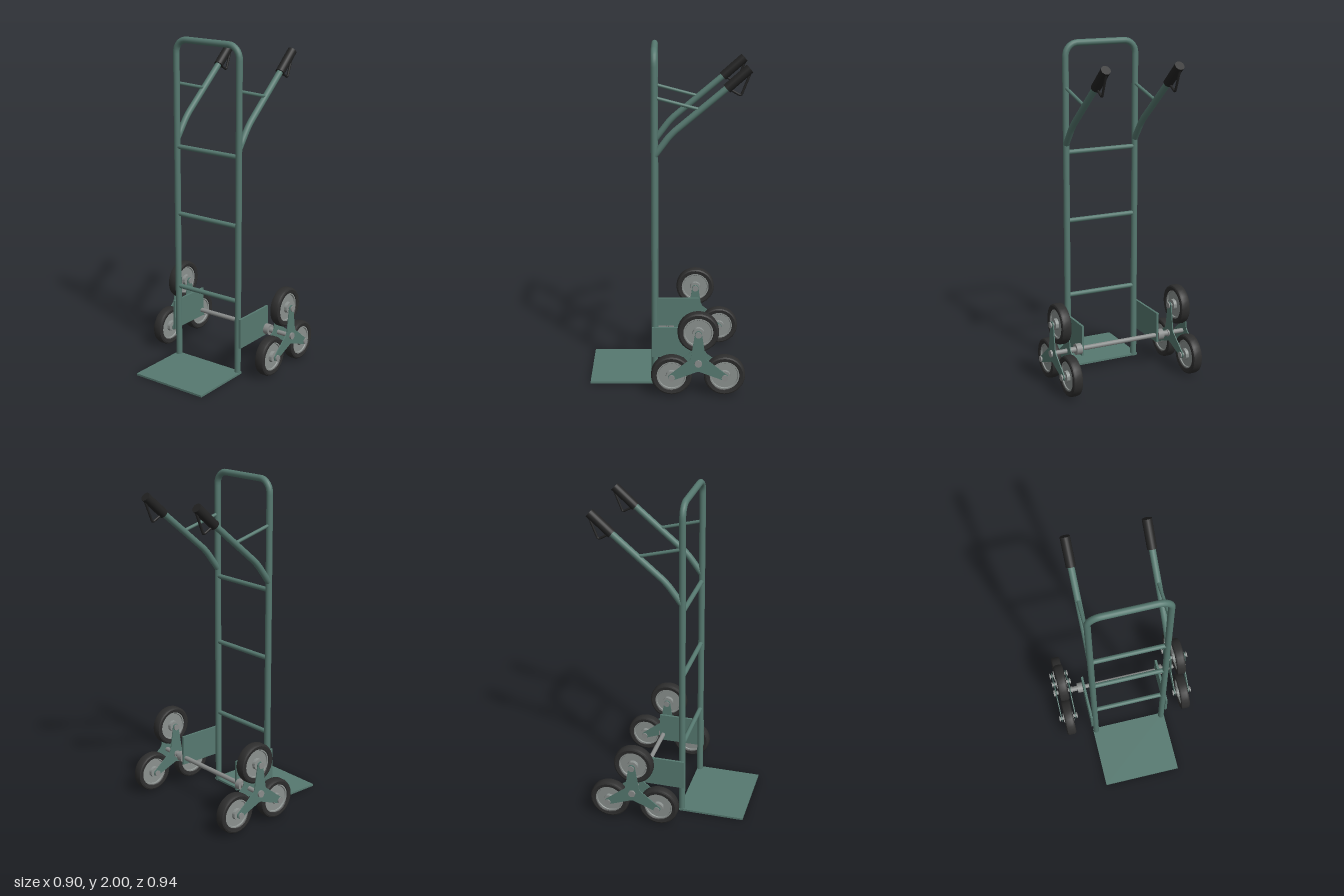
import * as THREE from 'three';
import { toCreasedNormals } from 'three/addons/utils/BufferGeometryUtils.js';

const mat = (name, color) => {
  const m = new THREE.MeshStandardMaterial({ color });
  m.name = name;
  return m;
};
const V = (x, y, z) => new THREE.Vector3(x, y, z);

export function createModel() {
  const green = mat('green paint', 0x567970);
  const rubber = mat('tyre rubber', 0x2e2e2e);
  const black = mat('grip black', 0x222222);
  const steel = mat('steel', 0x8a8d8c);
  const rimGrey = mat('rim grey', 0x8b918f);

  const root = new THREE.Group();
  root.name = 'stairClimbingHandTruck';

  const add = (parent, name, geo, material, x = 0, y = 0, z = 0) => {
    const m = new THREE.Mesh(geo, material);
    m.name = name;
    m.position.set(x, y, z);
    parent.add(m);
    return m;
  };
  // Straight round bar between two points
  const bar = (parent, name, a, b, r, material, sides = 16, r2 = r) => {
    const d = b.clone().sub(a);
    const m = add(parent, name, new THREE.CylinderGeometry(r2, r, d.length(), sides), material);
    m.position.copy(a).add(b).multiplyScalar(0.5);
    m.quaternion.setFromUnitVectors(V(0, 1, 0), d.normalize());
    return m;
  };
  // Bar along x
  const pin = (parent, name, x0, x1, y, z, r, material, sides = 20) =>
    bar(parent, name, V(x0, y, z), V(x1, y, z), r, material, sides);
  // Straight runs joined by rounded corners
  const bentPath = (pts, r) => {
    const path = new THREE.CurvePath();
    let last = pts[0];
    for (let i = 1; i < pts.length - 1; i++) {
      const p = pts[i];
      const a = p.clone().add(pts[i - 1].clone().sub(p).setLength(r));
      const b = p.clone().add(pts[i + 1].clone().sub(p).setLength(r));
      path.add(new THREE.LineCurve3(last, a));
      const k = 0.5523;
      path.add(new THREE.CubicBezierCurve3(a, a.clone().lerp(p, k), b.clone().lerp(p, k), b));
      last = b;
    }
    path.add(new THREE.LineCurve3(last, pts[pts.length - 1]));
    return path;
  };

  // Main hoop frame, rungs and toe plate
  const FX = 0.225, FZ = 0.083, R = 0.019;
  const hoop = bentPath([V(-FX, 0, FZ), V(-FX, 1.981, FZ), V(FX, 1.981, FZ), V(FX, 0, FZ)], 0.075);
  add(root, 'frameHoop', new THREE.TubeGeometry(hoop, 220, R, 16), green);
  for (const y of [0.465, 0.93, 1.345]) pin(root, 'rung', -FX, FX, y, FZ, 0.014, green, 16);
  add(root, 'toePlate', new THREE.BoxGeometry(0.49, 0.012, 0.4), green, 0, 0.006, 0.268);

  // Axle
  const AY = 0.215, AZ = -0.17;
  pin(root, 'axle', -0.44, 0.44, AY, AZ, 0.014, steel);

  // Three-armed wheel carrier outline, in (z, y) around the axle
  const ARM = 0.178;
  const polar = (r, a) => [r * Math.cos(a), r * Math.sin(a)];
  const spider = new THREE.Shape();
  for (let i = 0; i < 3; i++) {
    const a = Math.PI / 2 + i * Math.PI * 2 / 3;
    const [cx, cy] = polar(ARM, a);
    const s = [cx + 0.02 * Math.sin(a), cy - 0.02 * Math.cos(a)];
    if (i === 0) spider.moveTo(...s);
    spider.absarc(cx, cy, 0.02, a - Math.PI / 2, a + Math.PI / 2, false);
    const n = a + Math.PI * 2 / 3;
    const [nx, ny] = polar(ARM, n);
    const e = [nx + 0.02 * Math.sin(n), ny - 0.02 * Math.cos(n)];
    const [v1x, v1y] = polar(0.062, a + 0.72);
    const [v2x, v2y] = polar(0.062, n - 0.72);
    spider.lineTo(v1x, v1y);
    spider.quadraticCurveTo(...polar(0.048, a + Math.PI / 3), v2x, v2y);
    spider.lineTo(...e);
  }
  const spiderGeo = new THREE.ExtrudeGeometry(spider, { depth: 0.006, bevelEnabled: false, curveSegments: 8 });
  spiderGeo.translate(0, 0, -0.003).rotateY(Math.PI / 2);

  // Lathed wheel parts, turned so their axis runs along x
  const lathe = (pts, sides = 28) => toCreasedNormals(
    new THREE.LatheGeometry(pts.map(p => new THREE.Vector2(...p)), sides).rotateZ(Math.PI / 2), 0.5);
  const tyreGeo = lathe([[0.084, -0.018], [0.09, -0.027], [0.108, -0.03], [0.116, -0.026], [0.12, -0.016],
    [0.12, 0.016], [0.116, 0.026], [0.108, 0.03], [0.09, 0.027], [0.084, 0.018], [0.084, -0.018]]);
  const rimGeo = lathe([[0, -0.035], [0.032, -0.035], [0.034, -0.016], [0.076, -0.016], [0.079, -0.022], [0.088, -0.022],
    [0.088, 0.022], [0.079, 0.022], [0.076, 0.016], [0.034, 0.016], [0.032, 0.035], [0, 0.035]]);

  for (const s of [1, -1]) {
    const side = new THREE.Group();
    side.name = s > 0 ? 'leftSide' : 'rightSide';
    root.add(side);

    // Axle mount plate and bearing collar
    add(side, 'axlePlate', new THREE.BoxGeometry(0.014, 0.185, 0.29), green, s * 0.249, 0.2675, -0.045);
    pin(side, 'bearingCollar', s * 0.254, s * 0.29, AY, AZ, 0.033, steel, 24);
    pin(side, 'axleSleeve', s * 0.29, s * 0.338, AY, AZ, 0.017, steel);
    pin(side, 'axleInnerWasher', s * 0.325, s * 0.332, AY, AZ, 0.022, steel);
    pin(side, 'axleCap', s * 0.44, s * 0.452, AY, AZ, 0.021, steel);

    // Cluster of three wheels between two carriers
    const WX = s * 0.39;
    for (const x of [0.342, 0.436]) add(side, 'wheelCarrier', spiderGeo, green, s * x, AY, AZ);
    for (let i = 0; i < 3; i++) {
      const [dz, dy] = polar(ARM, Math.PI / 2 + i * Math.PI * 2 / 3);
      const y = AY + dy, z = AZ + dz;
      add(side, 'tyre', tyreGeo, rubber, WX, y, z);
      add(side, 'rim', rimGeo, rimGrey, WX, y, z);
      pin(side, 'wheelBolt', s * 0.33, s * 0.452, y, z, 0.011, steel, 12);
      pin(side, 'boltHead', s * 0.445, s * 0.452, y, z, 0.019, steel, 16);
      pin(side, 'boltNut', s * 0.328, s * 0.335, y, z, 0.019, steel, 16);
    }

    // Rear handle with bend, brace, grip and brake lever
    const x = s * FX;
    const handle = bentPath([V(x, 1.4, 0.083), V(x, 1.515, -0.01), V(x, 1.79, -0.338)].map((p, i) =>
      i === 0 ? V(x, 1.395, 0.08) : p), 0.04);
    add(side, 'handleTube', new THREE.TubeGeometry(handle, 40, R, 16), green);
    bar(side, 'handleBrace', V(x, 1.725, 0.08), V(x, 1.66, -0.165), 0.01, green, 12);
    bar(side, 'grip', V(x, 1.776, -0.323), V(x, 1.888, -0.45), 0.028, black, 20);
    const lever = bentPath([V(x, 1.775, -0.335), V(x, 1.736, -0.403), V(x, 1.868, -0.455)], 0.012);
    add(side, 'brakeLever', new THREE.TubeGeometry(lever, 30, 0.007, 8), black);
  }
  return root;
}
